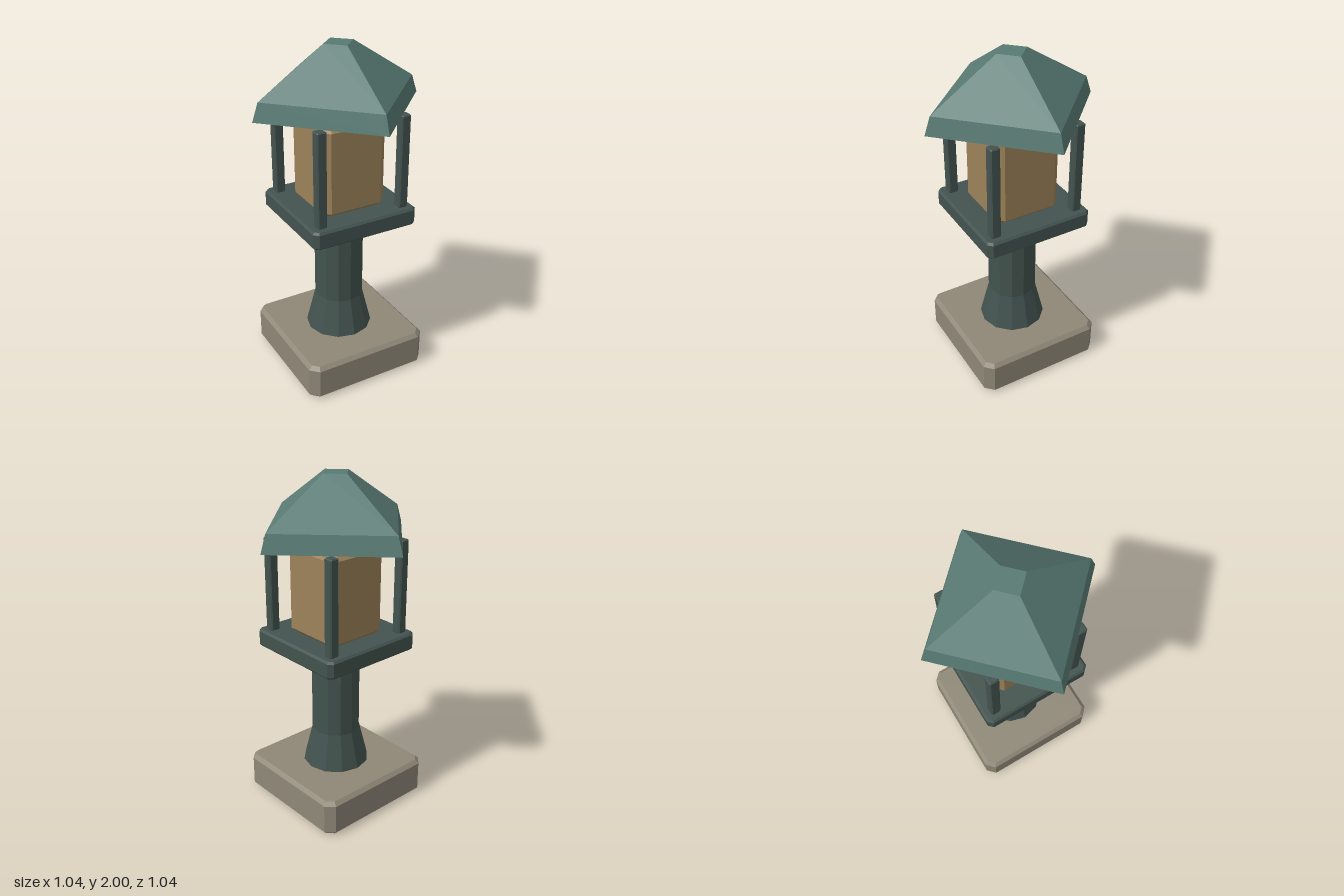
import * as THREE from 'three';

const paint = (color) => new THREE.MeshStandardMaterial({ color, flatShading: true });

// Square block with cut vertical corners and chamfered top and bottom edges
function chamferedBlock(half, y0, y1, cut, bevel) {
  const h = half, c = half - cut;
  const outline = [[h, -c], [h, c], [c, h], [-c, h], [-h, c], [-h, -c], [-c, -h], [c, -h]];
  const shape = new THREE.Shape(outline.map(([x, y]) => new THREE.Vector2(x, y)));
  const geometry = new THREE.ExtrudeGeometry(shape, {
    depth: y1 - y0 - 2 * bevel,
    bevelEnabled: true,
    bevelSegments: 1,
    bevelSize: bevel,
    bevelThickness: bevel,
    bevelOffset: -bevel,
  });
  geometry.rotateX(-Math.PI / 2);
  geometry.translate(0, y0 + bevel, 0);
  return geometry;
}

// Closed faceted solid turned from [radius, height] points
function faceted(points, sides) {
  return new THREE.LatheGeometry(points.map(([r, y]) => new THREE.Vector2(r, y)), sides);
}

export function createModel() {
  const model = new THREE.Group();
  model.name = 'gardenLantern';
  const stone = paint(0x8f8878);
  const metal = paint(0x43534f);
  const roofMetal = paint(0x587a73);
  const amber = paint(0x9c8259);

  const add = (name, geometry, material, x = 0, z = 0) => {
    const mesh = new THREE.Mesh(geometry, material);
    mesh.name = name;
    mesh.position.set(x, 0, z);
    model.add(mesh);
  };

  // Stone foot
  add('base', chamferedBlock(0.39, 0, 0.222, 0.048, 0.022), stone);

  // Twelve-sided pillar with flared foot and collar
  add('pillar', faceted([[0, 0.2], [0.205, 0.2], [0.145, 0.445], [0.145, 0.93]], 12), metal);
  add('collar', faceted([[0.145, 0.93], [0.21, 0.972], [0, 0.972]], 12), metal);

  // Platform carrying the lamp
  add('platform', chamferedBlock(0.33, 0.97, 1.076, 0.027, 0.012), metal);

  // Glowing lamp block
  add('lamp', chamferedBlock(0.203, 1.076, 1.597, 0.045, 0.022), amber);

  // Four corner posts
  const post = chamferedBlock(0.029, 1.074, 1.632, 0.007, 0.006);
  for (const x of [-0.26, 0.26]) {
    for (const z of [-0.26, 0.26]) add('post', post, metal, x, z);
  }

  // Four-sided roof with its corners on the axes
  add('roof', faceted([[0, 1.64], [0.518, 1.64], [0.482, 1.745], [0.092, 2], [0, 2]], 4), roofMetal);

  return model;
}
